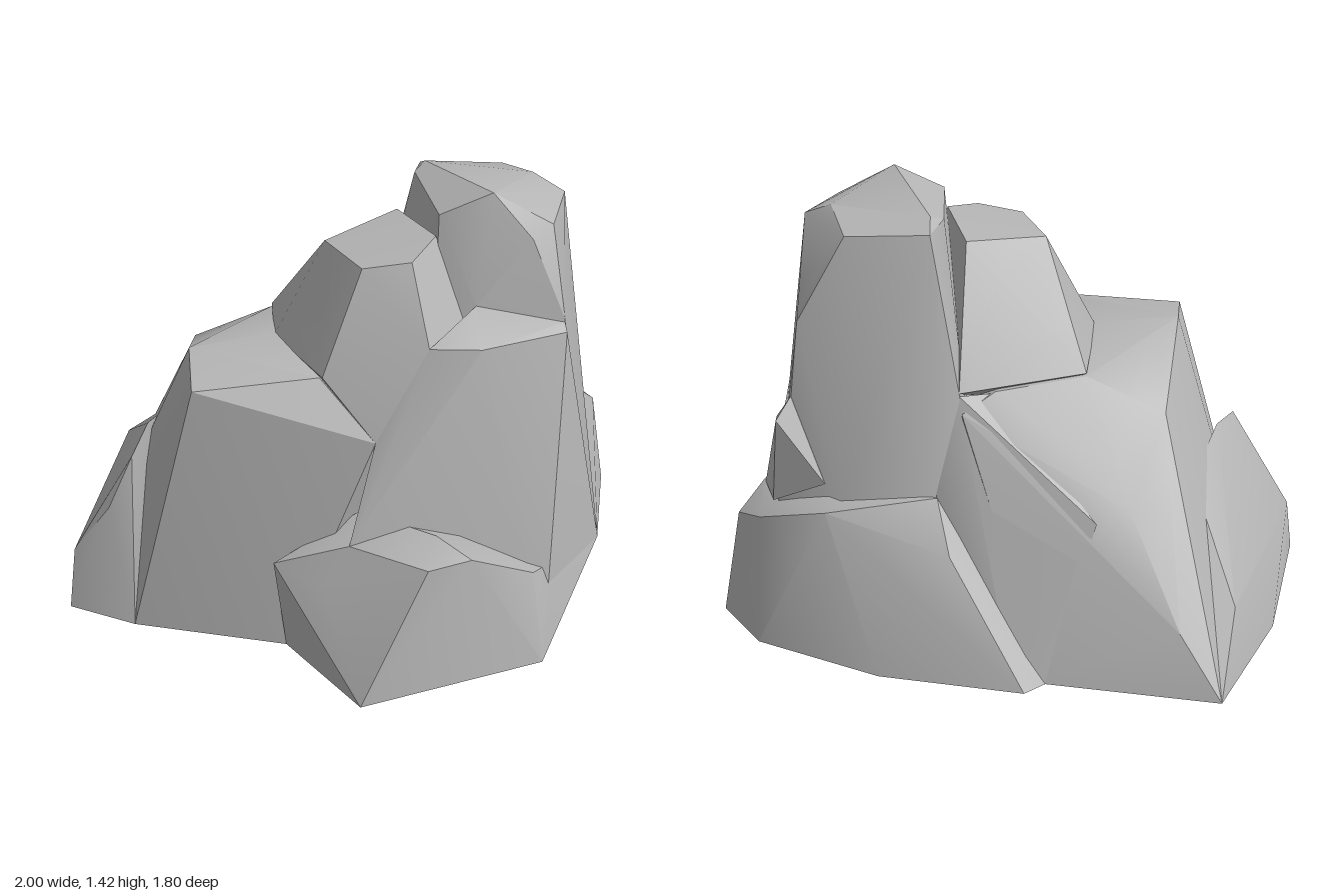
import * as THREE from 'three';
import { ConvexGeometry } from 'three/addons/geometries/ConvexGeometry.js';
import { toCreasedNormals } from 'three/addons/utils/BufferGeometryUtils.js';

// Each mass of the crag is a convex block given by its corner points.
const blocks = {
  mainPeak: [
    [0.30, 1.42, 0.38], [0.15, 1.35, 0.31], [0.23, 1.36, 0.02], [0.28, 1.38, 0.0],
    [0.30, 1.345, -0.065], [0.55, 1.33, 0.04], [0.55, 1.37, 0.22], [0.62, 1.32, 0.30],
    [0.47, 1.31, 0.465], [0.38, 1.29, 0.49], [0.46, 1.03, 0.57], [0.20, 1.09, 0.46],
    [0.71, 1.05, 0.06], [0.75, 0.80, 0.02], [0.82, 0.40, 0.0], [0.25, 0.85, -0.20],
    [0.35, 0.54, -0.27], [0.64, 0.50, -0.17], [0.20, 0, -0.40], [0.85, 0, 0.0],
    [0.77, 0, 0.41], [0.35, 0, 0.70], [0.0, 0, 0.5]
  ],
  rightStep: [
    [0.75, 0.81, 0.02], [0.81, 0.75, -0.02], [0.83, 0.45, 0.0], [0.83, 0.45, 0.13],
    [0.79, 0.72, 0.07], [0.68, 0.55, -0.12], [0.60, 0.50, 0.10]
  ],
  frontButtress: [
    [0.0, 1.02, 0.52], [0.14, 1.02, 0.60], [0.45, 1.0, 0.60], [0.20, 1.09, 0.46],
    [0.46, 1.02, 0.57], [0.31, 0.2, 0.78], [0.275, 0, 0.825], [-0.31, 0.43, 0.58],
    [-0.18, 0.73, 0.51], [-0.40, 0, 0.60], [0.77, 0, 0.41], [0.67, 1.0, 0.20],
    [0.76, 0.75, 0.08], [0.86, 0, 0.12]
  ],
  secondPeak: [
    [-0.13, 1.23, 0.085], [0.15, 1.26, 0.05], [0.14, 1.28, 0.31], [0.015, 1.25, 0.38],
    [-0.12, 1.23, 0.31], [-0.17, 0.87, -0.22], [0.13, 0.87, -0.17], [0.25, 0.85, -0.20],
    [-0.29, 0.91, 0.04], [-0.28, 0.91, 0.35], [-0.18, 0.73, 0.51], [0.0, 1.02, 0.52],
    [0.20, 0.9, 0.5], [0.0, 0.7, 0.0]
  ],
  sideShoulder: [
    [-0.65, 0.88, 0.19], [-0.57, 0.92, 0.0], [-0.29, 0.92, 0.04], [-0.28, 0.9, 0.33],
    [-0.18, 0.73, 0.51], [-0.17, 0.86, -0.22], [0.13, 0.84, -0.20], [0.25, 0.79, -0.23],
    [-0.40, 0.75, -0.34], [-0.21, 0.53, -0.55], [-0.30, 0.2, -0.78], [-0.40, 0, -0.905],
    [0.10, 0, -0.64], [-0.73, 0, -0.45], [-0.85, 0, 0.10], [-0.46, 0, 0.43], [0.2, 0, 0.1]
  ],
  sideLedge: [
    [-1.0, 0, -0.09], [-0.85, 0, 0.10], [-0.73, 0, -0.55], [-0.40, 0, -0.905],
    [-0.96, 0.2, -0.12], [-0.86, 0.38, -0.04], [-0.77, 0.55, -0.04], [-0.66, 0.58, -0.16],
    [-0.75, 0.23, -0.33], [-0.52, 0.21, -0.70], [-0.50, 0.5, -0.35]
  ],
  frontLedge: [
    [-0.46, 0, 0.43], [-0.40, 0, 0.82], [0.22, 0, 0.90], [0.77, 0, 0.41],
    [0.31, 0.2, 0.78], [0.22, 0.30, 0.82], [-0.02, 0.44, 0.835], [-0.16, 0.43, 0.81],
    [-0.40, 0.16, 0.70], [-0.40, 0.30, 0.57], [-0.49, 0.32, 0.41], [-0.08, 0.48, 0.72],
    [-0.31, 0.43, 0.58], [-0.20, 0.45, 0.45]
  ],
  backGully: [
    [0.25, 0.84, -0.20], [0.13, 0.83, -0.19], [-0.10, 0.50, -0.54], [0.10, 0, -0.64],
    [0.20, 0, -0.60], [0.35, 0.54, -0.27], [0.60, 0, 0.0], [-0.20, 0, 0.0]
  ],
  backLedge: [
    [0.77, 0, 0.41], [1.0, 0, 0.10], [0.93, 0, -0.13], [0.60, 0, -0.44],
    [0.18, 0, -0.67], [0.10, 0, -0.64], [0.93, 0.36, 0.11], [0.88, 0.40, -0.01],
    [0.83, 0.45, 0.15], [0.73, 0.45, 0.28], [0.70, 0.49, -0.20], [0.66, 0.52, -0.10],
    [0.35, 0.39, -0.42], [0.35, 0.53, -0.28]
  ]
};

const EPS = 1e-4;

// Triangles of a block, each with its plane and its corners as position and normal.
function hullTriangles(points) {
  const hull = new ConvexGeometry(points.map((p) => new THREE.Vector3(...p)));
  const { position, normal } = toCreasedNormals(hull, 0.5).attributes;
  const tris = [];
  for (let i = 0; i < position.count; i += 3) {
    const corners = [i, i + 1, i + 2].map((k) => ({
      p: new THREE.Vector3().fromBufferAttribute(position, k),
      n: new THREE.Vector3().fromBufferAttribute(normal, k)
    }));
    const plane = new THREE.Plane().setFromCoplanarPoints(...corners.map((c) => c.p));
    tris.push({ corners, plane, isFloor: corners.every((c) => c.p.y < EPS) });
  }
  return tris;
}

// Cuts a convex polygon by a plane into the parts outside and inside it.
function splitPolygon(polygon, plane) {
  const outside = [], inside = [];
  const distance = polygon.map((v) => plane.distanceToPoint(v.p));
  if (distance.every((d) => d > -EPS)) return { outside: polygon, inside };
  if (distance.every((d) => d < EPS)) return { outside, inside: polygon };
  polygon.forEach((a, i) => {
    const j = (i + 1) % polygon.length, b = polygon[j];
    if (distance[i] > -EPS) outside.push(a);
    if (distance[i] < EPS) inside.push(a);
    if (Math.abs(distance[i]) > EPS && Math.abs(distance[j]) > EPS && distance[i] * distance[j] < 0) {
      const t = distance[i] / (distance[i] - distance[j]);
      const cut = { p: a.p.clone().lerp(b.p, t), n: a.n.clone().lerp(b.n, t).normalize() };
      outside.push(cut);
      inside.push(cut);
    }
  });
  return { outside, inside };
}

// The pieces of a polygon that are not buried in a block.
function cutAway(polygon, hull) {
  const pieces = [];
  let rest = polygon;
  for (const { plane, isFloor } of hull) {
    if (isFloor) continue;
    const { outside, inside } = splitPolygon(rest, plane);
    if (outside.length > 2) pieces.push(outside);
    rest = inside;
    if (rest.length < 3) return pieces;
  }
  return pieces;
}

export function createModel() {
  const group = new THREE.Group();
  group.name = 'rockyCrag';
  const stone = new THREE.MeshStandardMaterial({ color: 0xb4b4b4, side: THREE.DoubleSide });
  stone.name = 'stone grey';

  const hulls = Object.values(blocks).map(hullTriangles);
  Object.keys(blocks).forEach((name, index) => {
    // Leave the underside open and keep only the outer skin of the joined blocks.
    let polygons = hulls[index].filter((t) => !t.isFloor).map((t) => t.corners);
    hulls.forEach((hull, other) => {
      if (other !== index) polygons = polygons.flatMap((polygon) => cutAway(polygon, hull));
    });
    const corners = polygons.flatMap((polygon) =>
      polygon.slice(2).flatMap((v, i) => [polygon[0], polygon[i + 1], v]));
    const skin = new THREE.BufferGeometry().setFromPoints(corners.map((c) => c.p));
    skin.setAttribute('normal',
      new THREE.Float32BufferAttribute(corners.flatMap((c) => c.n.toArray()), 3));
    const mesh = new THREE.Mesh(skin, stone);
    mesh.name = name;
    group.add(mesh);
  });
  return group;
}
